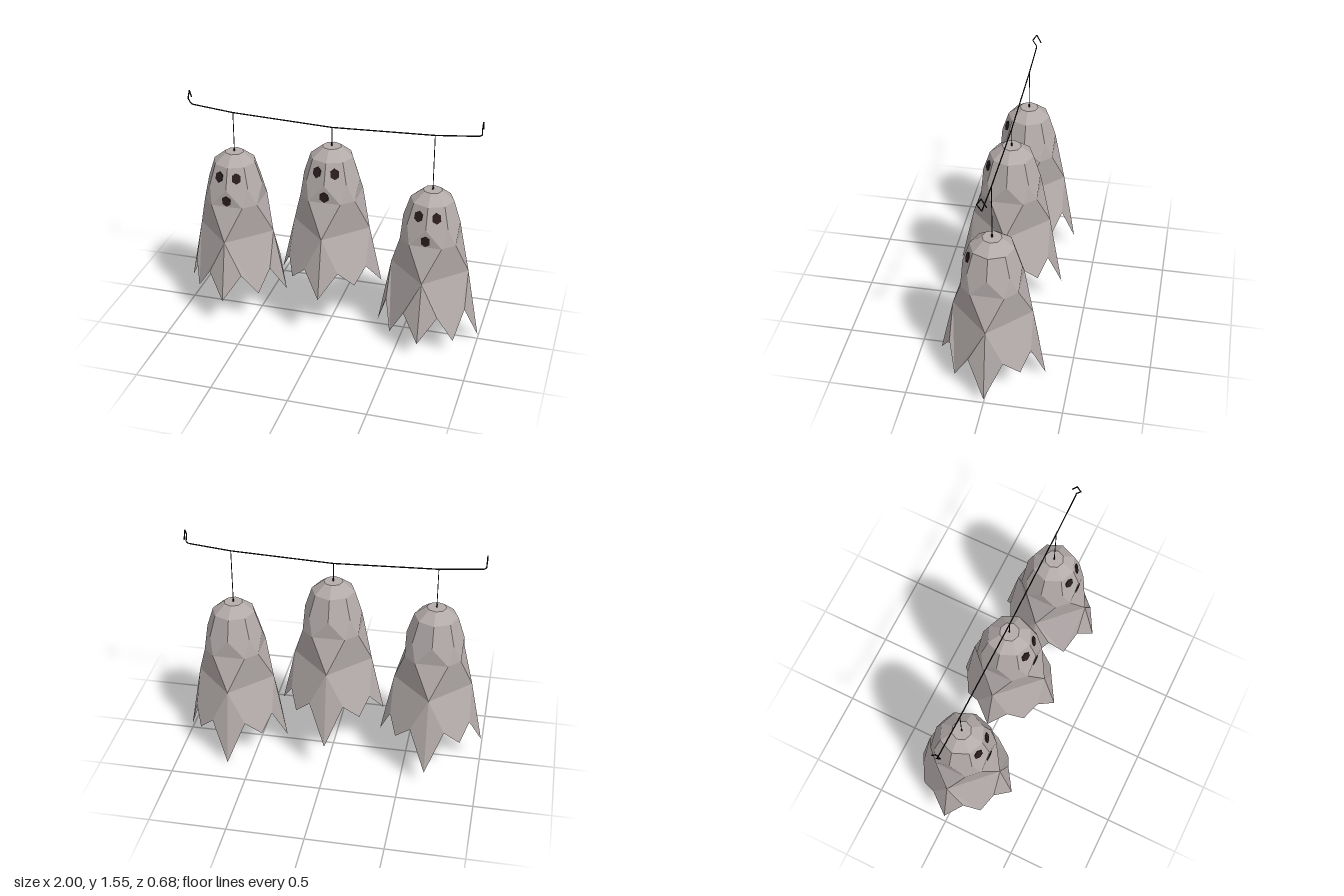
import * as THREE from 'three';

const cloth = new THREE.MeshStandardMaterial({ color: 0xb3abaa, side: THREE.DoubleSide, flatShading: true });
cloth.name = 'grey cloth';
const dark = new THREE.MeshStandardMaterial({ color: 0x2a1c1e });
dark.name = 'dark brown';
const black = new THREE.MeshStandardMaterial({ color: 0x161616 });
black.name = 'black wire';

// Point at an angle round the body: 0 faces front, 90 is the model's left
const polar = (deg, r, y) => {
  const a = THREE.MathUtils.degToRad(deg);
  return new THREE.Vector3(Math.sin(a) * r, y, Math.cos(a) * r);
};

// Thin straight rod between two points
function rod(name, a, b, radius, material) {
  const dir = b.clone().sub(a);
  const mesh = new THREE.Mesh(new THREE.CylinderGeometry(radius, radius, dir.length(), 6), material);
  mesh.position.copy(a).add(b).multiplyScalar(0.5);
  mesh.quaternion.setFromUnitVectors(new THREE.Vector3(0, 1, 0), dir.normalize());
  mesh.name = name;
  return mesh;
}

// Faceted sheet: octagonal head, square waist, ragged hem; heights run down from the crown
function sheetGeometry(sideTip, frontDiagonal) {
  const tris = [];
  const tri = (a, b, c) => [a, b, c].forEach((p) => tris.push(p.x, p.y, p.z));
  const quad = (a, b, c, d) => { tri(a, b, c); tri(a, c, d); };
  const ring = (r, y) => Array.from({ length: 9 }, (_, i) => polar(i * 45, r, y));

  // Head
  const top = ring(0.062, 0), brow = ring(0.14, -0.062), cheek = ring(0.185, -0.2);
  const crown = new THREE.Vector3();
  // Neck points sit in pairs either side of each axis
  const neck = (i) => polar(Math.floor(i / 2) * 90 + (i % 2 ? 59.7 : 30.3), 0.209, -0.32);
  for (let i = 0; i < 8; i++) {
    tri(crown, top[i], top[i + 1]);
    quad(top[i], brow[i], brow[i + 1], top[i + 1]);
    quad(brow[i], cheek[i], cheek[i + 1], brow[i + 1]);
    tri(cheek[i], neck(i), cheek[i + 1]);
    tri(cheek[i], neck(i - 1 < 0 ? 7 : i - 1), neck(i));
  }

  // Skirt, one quarter at a time
  const tips = [-0.945, sideTip, -1.055, sideTip];
  const diagonals = [frontDiagonal, -0.88, -0.88, frontDiagonal];
  for (let q = 0; q < 4; q++) {
    const a = q * 90;
    const waistA = polar(a, 0.255, -0.55), waistB = polar(a + 90, 0.255, -0.55);
    const tipA = polar(a, 0.34, tips[q]), tipB = polar(a + 90, 0.34, tips[(q + 1) % 4]);
    const notchA = polar(a + 23, 0.283, -0.78), notchB = polar(a + 67, 0.283, -0.78);
    const corner = polar(a + 45, 0.298, diagonals[q]);
    quad(neck(2 * q), waistA, waistB, neck(2 * q + 1));
    tri(neck((2 * q + 7) % 8), waistA, neck(2 * q));
    tri(waistA, tipA, notchA);
    tri(waistA, notchA, corner);
    tri(waistA, corner, waistB);
    tri(waistB, corner, notchB);
    tri(waistB, notchB, tipB);
  }
  const geo = new THREE.BufferGeometry();
  geo.setAttribute('position', new THREE.Float32BufferAttribute(tris, 3));
  geo.computeVertexNormals();
  return geo;
}

// Thin upright hexagonal plate for eyes and mouth
function facePlate(name, position, yaw, pitch) {
  const geo = new THREE.CylinderGeometry(0.037, 0.037, 0.008, 6).rotateX(Math.PI / 2);
  geo.scale(0.86, 1, 1);
  const mesh = new THREE.Mesh(geo, dark);
  mesh.position.copy(position);
  mesh.rotation.set(pitch, yaw, 0, 'YXZ');
  mesh.name = name;
  return mesh;
}

function createGhost({ x, y, wireY, sideTip, frontDiagonal }) {
  const ghost = new THREE.Group();
  ghost.name = 'hangingGhost';
  ghost.position.set(x, y, 0);
  const sheet = new THREE.Mesh(sheetGeometry(sideTip, frontDiagonal), cloth);
  sheet.name = 'sheet';
  ghost.add(sheet);
  for (const s of [-1, 1]) {
    ghost.add(facePlate(s > 0 ? 'leftEye' : 'rightEye', polar(s * 22.5, 0.151, -0.13), s * Math.PI / 8, -0.29));
  }
  ghost.add(facePlate('mouth', new THREE.Vector3(0, -0.28, 0.182), 0, 0.04));
  // Hanging string and its knot
  const at = (h) => new THREE.Vector3(0, h, 0);
  ghost.add(rod('string', at(-0.01), at(wireY - y), 0.0027, black));
  ghost.add(rod('knot', at(-0.005), at(0.02), 0.005, black));
  return ghost;
}

export function createModel() {
  const model = new THREE.Group();
  model.name = 'ghostGarland';
  [
    { x: -0.66, y: 1.16, wireY: 1.43, sideTip: -0.985, frontDiagonal: -0.925 },
    { x: 0, y: 1.28, wireY: 1.405, sideTip: -0.93, frontDiagonal: -0.875 },
    { x: 0.66, y: 1.06, wireY: 1.43, sideTip: -1.025, frontDiagonal: -0.965 },
  ].forEach((g) => model.add(createGhost(g)));

  // Sagging wire with a bent hook at each end, mirrored
  const path = [
    [0, 1.405, 0], [0.66, 1.43, 0], [0.935, 1.457, 0], [0.95, 1.468, 0],
    [0.952, 1.508, 0.027], [0.952, 1.551, 0], [0.952, 1.495, -0.03],
  ];
  const wire = new THREE.Group();
  wire.name = 'wire';
  for (const s of [-1, 1]) {
    const pts = path.map(([x, y, z]) => new THREE.Vector3(s * x, y, z));
    for (let i = 0; i < pts.length - 1; i++) {
      wire.add(rod(i < 3 ? 'wireSpan' : 'wireHook', pts[i], pts[i + 1], 0.004, black));
    }
  }
  model.add(wire);
  return model;
}
